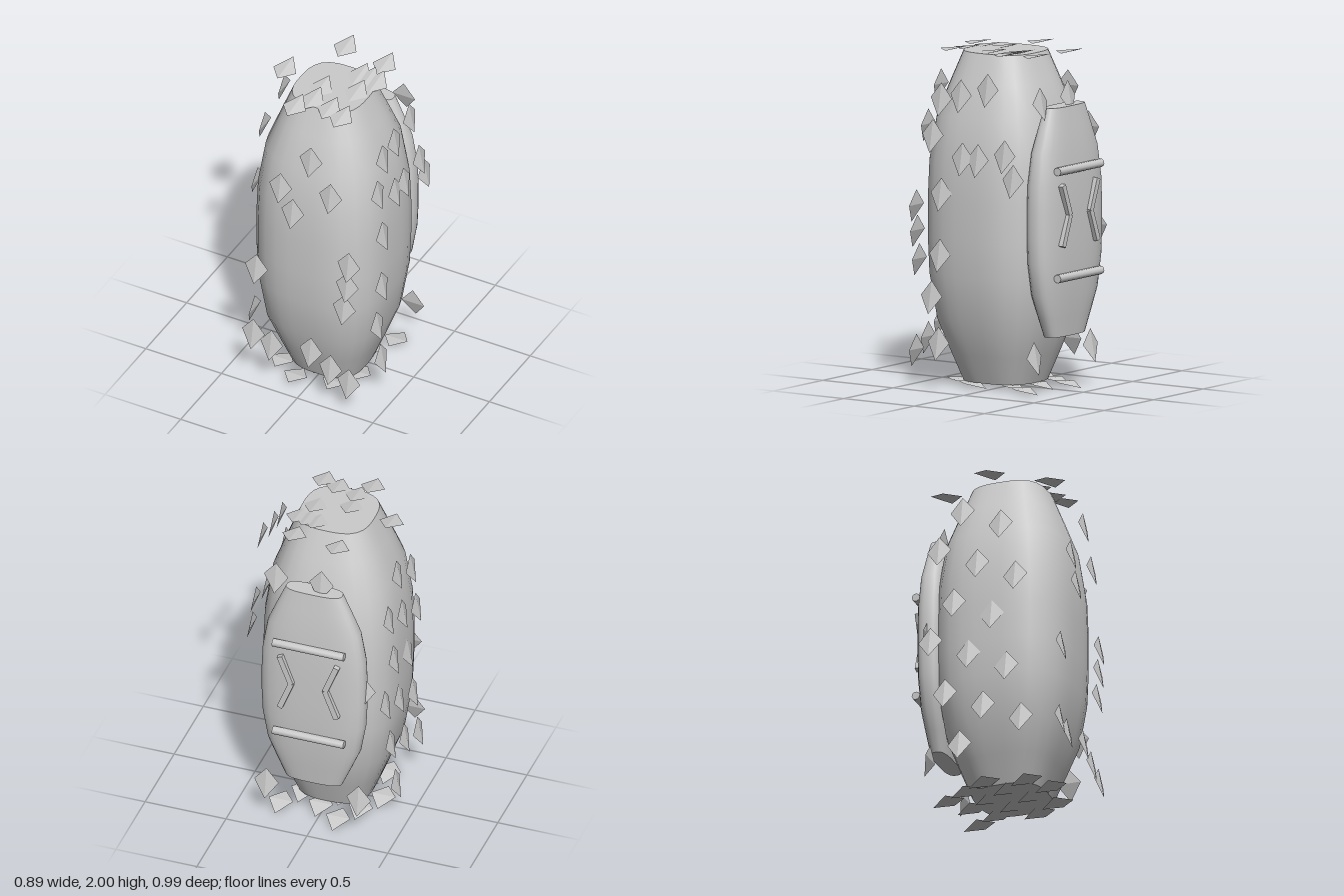
import * as THREE from 'three';
import { toCreasedNormals } from 'three/addons/utils/BufferGeometryUtils.js';

const material = new THREE.MeshStandardMaterial({ color: 0xcccccc });
const flatMaterial = new THREE.MeshStandardMaterial({ color: 0xcccccc, flatShading: true });

function addMesh(parent, name, geometry, mat = material) {
  const mesh = new THREE.Mesh(geometry, mat);
  mesh.name = name;
  parent.add(mesh);
  return mesh;
}

// Barrel with rounded-square cross-section, unit half-width, y from -1 to 1
function barrelGeometry() {
  const half = [[0.54, 1], [0.7, 0.825], [0.88, 0.62], [0.98, 0.34], [1, 0.12]];
  const upper = half.map(([r, y]) => new THREE.Vector2(r, y)).reverse();
  const lower = half.map(([r, y]) => new THREE.Vector2(r, -y));
  const profile = [new THREE.Vector2(0, -1), ...lower, ...upper, new THREE.Vector2(0, 1)];
  const geo = new THREE.LatheGeometry(profile, 32);
  const p = geo.attributes.position;
  const n = 3;
  for (let i = 0; i < p.count; i++) {
    const x = p.getX(i), z = p.getZ(i), r = Math.hypot(x, z);
    if (r < 1e-6) continue;
    const k = 1 / Math.pow(Math.abs(x / r) ** n + Math.abs(z / r) ** n, 1 / n);
    p.setX(i, x * k);
    p.setZ(i, z * k);
  }
  return geo;
}

function addBarrel(parent, name, size, center) {
  const geo = barrelGeometry().scale(...size);
  addMesh(parent, name, toCreasedNormals(geo, 0.75)).position.set(...center);
}

// Kite-shaped scale: a shallow four-sided cone whose lower tip lifts off its plane
function scaleGeometry() {
  const T = [0, 0.09, 0], L = [-0.075, 0, 0], R = [0.075, 0, 0], B = [0, -0.105, 0.036];
  const geo = new THREE.BufferGeometry();
  const corners = [T, L, B, T, B, R, L, R, B, T, R, L].flat();
  geo.setAttribute('position', new THREE.Float32BufferAttribute(corners, 3));
  geo.computeVertexNormals();
  return geo;
}

// Even scatter over a rectangle of half-size (a, b) around (0, mid)
function scatter(count, a, b, mid) {
  return Array.from({ length: count }, (_, i) => [
    a * (2 * ((i * 0.618 + 0.3) % 1) - 1),
    mid + b * ((2 * i + 1) / count - 1),
  ]);
}

// Places scales on one side; each spot holds two in-plane coordinates
function addScales(parent, name, turn, depth, spots, toPoint) {
  const group = new THREE.Group();
  group.name = name;
  const geo = scaleGeometry().scale(1, 1, depth);
  for (const [u, v] of spots) {
    const scale = addMesh(group, 'scale', geo, flatMaterial);
    scale.position.set(...toPoint(u, v));
    scale.rotation.set(...turn);
  }
  parent.add(group);
}

export function createModel() {
  const model = new THREE.Group();
  model.name = 'scaledBarrel';

  // Main barrel and flattened barrel plate on its back
  addBarrel(model, 'body', [0.41, 0.97, 0.41], [0, 1, 0.05]);
  addBarrel(model, 'backPlate', [0.32, 0.675, 0.1], [0, 1.005, -0.366]);

  // Horizontal rods across the plate
  for (const y of [0.69, 1.32]) {
    const geo = new THREE.CylinderGeometry(0.025, 0.025, 0.44, 10).rotateZ(Math.PI / 2);
    addMesh(model, 'plateRod', toCreasedNormals(geo, 0.8)).position.set(0, y, -0.47);
  }

  // Pair of bent strips pointing inwards
  for (const side of [-1, 1]) {
    const bend = new THREE.Group();
    bend.name = 'bentStrip';
    for (const end of [-1, 1]) {
      const dx = 0.07 * side, dy = 0.18 * end;
      const strip = addMesh(bend, 'stripArm', new THREE.BoxGeometry(0.034, 0.195, 0.03));
      strip.position.set(0.105 * side + dx / 2, 1.055 + dy / 2, -0.473);
      strip.rotation.z = -Math.atan2(dx, dy);
    }
    model.add(bend);
  }

  // Scales hovering on the six sides
  const quarter = Math.PI / 2;
  const front = [[0.07, 1.74], [-0.13, 1.48], [0.2, 1.52], [-0.05, 1.32], [0.32, 1.06], [0.31, 0.91],
    [0.29, 0.74], [-0.29, 0.83], [-0.31, 0.35], [-0.19, 0.31], [0.07, 0.35], [0.2, 0.27], [0.32, 0.21]];
  const left = [[0.22, 1.72], [0.08, 1.75], [-0.11, 1.8], [0.28, 1.5], [0.07, 1.38], [-0.04, 1.38],
    [-0.23, 1.42], [-0.29, 1.28], [0.22, 1.16], [0.23, 0.8], [0.29, 0.55], [0.24, 0.28]];
  const top = [[-0.12, -0.31], [0.16, -0.27], [0.08, -0.11], [0.14, -0.1], [0.2, -0.09], [-0.33, 0.04],
    [0.14, 0.04], [-0.06, 0.1], [-0.05, 0.22], [-0.11, 0.33], [0.08, 0.26], [0.18, 0.3]];
  const back = [[0.24, 1.72], [-0.04, 1.73], [-0.3, 1.03], [0.3, 0.23], [-0.27, 0.24]];
  addScales(model, 'frontScales', [0, 0, 0], 1, front, (x, y) => [x, y, 0.46]);
  addScales(model, 'backScales', [0, Math.PI, 0], 1, back, (x, y) => [x, y, -0.36]);
  addScales(model, 'leftScales', [0, quarter, 0], 1, left, (z, y) => [0.41, y, z]);
  addScales(model, 'rightScales', [0, -quarter, 0], 1, scatter(14, 0.31, 0.8, 0.98), (z, y) => [-0.41, y, z]);
  addScales(model, 'topScales', [-quarter, 0, Math.PI], 0.83, top, (x, z) => [x, 1.97, z]);
  addScales(model, 'bottomScales', [quarter, 0, 0], 0.83, scatter(14, 0.3, 0.34, 0.02), (x, z) => [x, 0.03, z]);
  return model;
}
